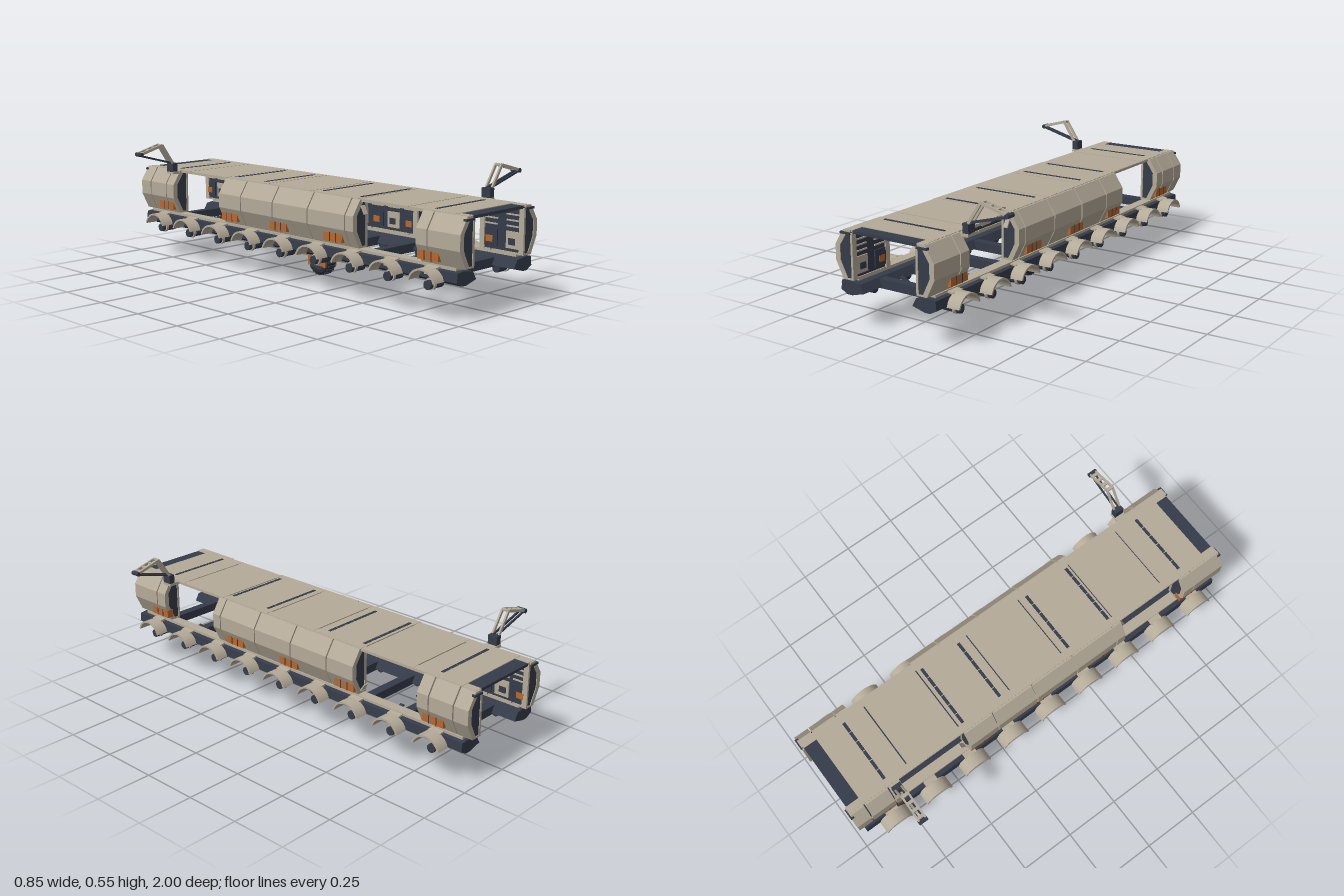
import * as THREE from 'three';

const mat = (name, color, side = THREE.FrontSide) => {
  const m = new THREE.MeshStandardMaterial({ color, side });
  m.name = name;
  return m;
};

export function createModel() {
  const root = new THREE.Group();
  root.name = 'segmentedHauler';
  const beige = mat('beige hull', 0xb4aa98);
  const dark = mat('dark slate', 0x353b4a);
  const orange = mat('burnt orange', 0xb8672f);
  const rubber = mat('black rubber', 0x262b34);

  const add = (name, geo, m, x = 0, y = 0, z = 0, parent = root) => {
    const mesh = new THREE.Mesh(geo, m);
    mesh.name = name;
    mesh.position.set(x, y, z);
    parent.add(mesh);
    return mesh;
  };
  // box given by its limits; s mirrors it across x
  const box = (name, m, x0, x1, y0, y1, z0, z1, s = 1, parent = root) =>
    add(name, new THREE.BoxGeometry(x1 - x0, y1 - y0, z1 - z0), m,
      s * (x0 + x1) / 2, (y0 + y1) / 2, (z0 + z1) / 2, parent);
  // x-y outline drawn out along z
  const prism = (name, m, pts, z0, z1, s = 1, parent = root) => {
    const shape = new THREE.Shape(pts.map(([x, y]) => new THREE.Vector2(s * x, y)));
    const geo = new THREE.ExtrudeGeometry(shape, { depth: z1 - z0, bevelEnabled: false });
    return add(name, geo, m, 0, 0, z0, parent);
  };
  // straight bar between two x-y points
  const bar = (name, m, a, b, t, z, depth, s, parent) => {
    const dx = s * (b[0] - a[0]), dy = b[1] - a[1];
    const mesh = add(name, new THREE.BoxGeometry(Math.hypot(dx, dy), t, depth), m,
      s * (a[0] + b[0]) / 2, (a[1] + b[1]) / 2, z, parent);
    mesh.rotation.z = Math.atan2(dy, dx);
    return mesh;
  };

  const axles = Array.from({ length: 9 }, (_, i) => 0.845 - i * 0.2095);

  // Ladder chassis
  const rail = [[0.12, 0.158], [0.14, 0.192], [0.2, 0.2], [0.232, 0.196], [0.236, 0.158], [0.205, 0.142], [0.18, 0.142]];
  for (const s of [1, -1]) {
    prism('chassisRail', dark, rail, -0.965, 0.975, s);
    box('railCap', beige, 0.165, 0.212, 0.198, 0.21, -0.95, 0.95, s);
  }
  for (const z of axles) box('crossBeam', dark, -0.15, 0.15, 0.15, 0.188, z - 0.02, z + 0.02);
  for (const s of [1, -1])
    for (const z of [0.74, 0.32, -0.1, -0.52])
      bar('hangerHook', dark, [0.05, 0.146], [0.078, 0.138], 0.006, z, 0.02, s, root);
  for (const s of [1, -1])
    for (const z of [0.74, 0.32, -0.1, -0.52])
      bar('hookStem', dark, [0.075, 0.139], [0.13, 0.165], 0.008, z, 0.015, s, root);

  // Running gear: arched fenders and axle hubs
  const arch = new THREE.Shape();
  arch.absarc(0, 0, 0.071, 0.3, Math.PI - 0.3, false);
  arch.absarc(0, 0, 0.063, Math.PI - 0.3, 0.3, true);
  const fenderGeo = new THREE.ExtrudeGeometry(arch, { depth: 0.06, bevelEnabled: false, curveSegments: 10 });
  fenderGeo.translate(0, 0, -0.03).rotateY(Math.PI / 2);
  const hubGeo = new THREE.CylinderGeometry(0.019, 0.019, 0.08, 14).rotateZ(Math.PI / 2);
  const ringGeo = new THREE.CylinderGeometry(0.025, 0.025, 0.012, 14).rotateZ(Math.PI / 2);
  for (const s of [1, -1]) {
    for (const z of axles) {
      const g = new THREE.Group();
      g.name = 'wheelStation';
      root.add(g);
      add('fender', fenderGeo, beige, s * 0.264, 0.134, z, g);
      add('axleHub', hubGeo, dark, s * 0.215, 0.134, z, g);
      add('hubCollar', ringGeo, beige, s * 0.232, 0.136, z, g);
      prism('fenderBracket', beige, [[0.205, 0.207], [0.24, 0.203], [0.24, 0.172], [0.234, 0.172]],
        z - 0.03, z + 0.03, s, g);
    }
  }

  // Side pods: dark core wrapped by faceted hull panels
  const core = [[0.162, 0.212], [0.187, 0.212], [0.222, 0.284], [0.222, 0.346], [0.184, 0.403], [0.162, 0.403]];
  const shell = [[0.165, 0.412], [0.2, 0.412], [0.242, 0.347], [0.242, 0.283], [0.206, 0.21], [0.157, 0.21],
    [0.157, 0.217], [0.186, 0.217], [0.219, 0.284], [0.219, 0.346], [0.182, 0.401], [0.165, 0.401]];
  const pods = [
    { seams: [0.77, 0.83, 0.995], boxes: [0.825] },
    { seams: [-0.41, -0.26, -0.05, 0.17, 0.39, 0.44], boxes: [0.31, -0.025, -0.35] },
    { seams: [-0.995, -0.92, -0.8, -0.74], boxes: [-0.815] },
  ];
  for (const s of [1, -1]) {
    for (const { seams, boxes } of pods) {
      const g = new THREE.Group();
      g.name = 'sidePod';
      root.add(g);
      const z0 = seams[0], z1 = seams[seams.length - 1];
      prism('podCore', dark, core, z0 + 0.006, z1 - 0.006, s, g);
      seams.slice(1).forEach((z, i) => {
        prism('hullPanel', beige, shell, seams[i] + 0.003, z - 0.003, s, g);
      });
      // lower cargo boxes
      for (const z of boxes) {
        box('cargoBox', orange, 0.198, 0.231, 0.225, 0.262, z - 0.053, z + 0.053, s, g);
        for (const d of [-0.018, 0.018])
          box('boxStrap', dark, 0.2, 0.232, 0.224, 0.263, z + d - 0.002, z + d + 0.002, s, g);
      }
      // inner pillars and equipment racks
      for (const z of [z0 + 0.015, z1 - 0.015])
        box('innerPillar', beige, 0.155, 0.165, 0.21, 0.402, z - 0.012, z + 0.012, s, g);
      const n = Math.max(2, Math.round((z1 - z0) / 0.1));
      for (let i = 0; i < n; i++) {
        const z = z0 + (i + 0.5) * (z1 - z0) / n;
        box('rackPanel', i % 2 ? beige : dark, 0.156, 0.164, 0.23, 0.3, z - 0.034, z + 0.034, s, g);
        for (const y of [0.318, 0.342, 0.366])
          box('rackShelf', beige, 0.157, 0.164, y, y + 0.006, z - 0.034, z + 0.034, s, g);
        box('rackModule', i % 2 ? dark : orange, 0.1545, 0.163, 0.245, 0.272, z - 0.022, z + 0.012, s, g);
      }
    }
    // slanted braces beside the openings
    for (const [z, y, a] of [[0.45, 0.37, 0.5], [-0.425, 0.245, 0.6]]) {
      const brace = box('openingBrace', beige, 0.18, 0.2, y - 0.02, y + 0.02, z - 0.003, z + 0.003, s);
      brace.rotation.x = -a;
    }
  }

  // Roof deck
  box('roofUnderside', dark, -0.165, 0.165, 0.399, 0.406, -0.985, 0.985);
  const seams = [-0.925, -0.68, -0.41, -0.14, 0.14, 0.42, 0.69, 0.93];
  seams.slice(1).forEach((z, i) => {
    box('roofPanel', beige, -0.19, 0.19, 0.404, 0.414, seams[i] + 0.003, z - 0.003);
  });
  for (const s of [1, -1]) {
    box('roofEndStrip', dark, -0.157, 0.157, 0.401, 0.411, s > 0 ? 0.925 : -0.985, s > 0 ? 0.985 : -0.92);
    box('roofEdge', beige, 0.157, 0.192, 0.402, 0.413, -0.985, 0.985, s);
    for (const z of [0.99, -0.99])
      box('cornerCap', dark, 0.163, 0.212, 0.395, 0.404, z - 0.008, z + 0.008, s);
  }
  for (const z of [-0.79, -0.385, -0.19, 0.18, 0.4, 0.8])
    for (let i = 0; i < 6; i++)
      box('roofSlot', dark, -0.155 + i * 0.051, -0.108 + i * 0.051, 0.41, 0.4155, z - 0.007, z + 0.007);
  for (let i = -2; i <= 2; i++)
    box('roofStringer', dark, i * 0.055 - 0.012, i * 0.055 + 0.012, 0.396, 0.4, -0.97, 0.97);

  // Folding arms on opposite corners
  for (const [s, z] of [[1, 0.755], [-1, -0.77]]) {
    const g = new THREE.Group();
    g.name = 'foldingArm';
    root.add(g);
    box('armFoot', beige, 0.185, 0.24, 0.398, 0.41, z - 0.025, z + 0.025, s, g);
    box('armBase', dark, 0.212, 0.24, 0.408, 0.45, z - 0.022, z + 0.022, s, g);
    const a = [0.235, 0.45], b = [0.295, 0.54], c = [0.412, 0.508];
    for (const d of [-0.015, 0.015]) {
      bar('lowerArm', beige, a, b, 0.012, z + d, 0.008, s, g);
      bar('upperArm', beige, b, c, 0.012, z + d, 0.008, s, g);
      bar('armStrut', dark, [0.225, 0.448], [0.415, 0.5], 0.008, z + d * 0.6, 0.007, s, g);
    }
    for (let i = 0; i <= 3; i++) {
      const t = i / 3.4;
      add('armRung', new THREE.BoxGeometry(0.014, 0.008, 0.03), beige,
        s * (b[0] + (c[0] - b[0]) * t), b[1] + (c[1] - b[1]) * t, z, g);
    }
    add('armTip', new THREE.CylinderGeometry(0.01, 0.01, 0.042, 12).rotateX(Math.PI / 2), dark, s * 0.415, 0.505, z, g);
  }

  // Central guide wheel
  const wheel = new THREE.Group();
  wheel.name = 'guideWheel';
  wheel.position.set(0, 0.065, 0.015);
  root.add(wheel);
  const tyre = [[0.035, -0.024], [0.05, -0.027], [0.058, -0.025], [0.062, -0.016], [0.0625, 0],
    [0.062, 0.016], [0.058, 0.025], [0.05, 0.027], [0.035, 0.024]].map(([r, w]) => new THREE.Vector2(r, w));
  add('tyre', new THREE.LatheGeometry(tyre, 28).rotateZ(Math.PI / 2), rubber, 0, 0, 0, wheel);
  add('wheelHub', new THREE.CylinderGeometry(0.04, 0.04, 0.05, 20).rotateZ(Math.PI / 2), dark, 0, 0, 0, wheel);
  for (let i = 0; i < 20; i++) {
    const t = i / 20 * Math.PI * 2;
    const lug = add('treadLug', new THREE.BoxGeometry(0.042, 0.006, 0.01), dark, 0, Math.cos(t) * 0.062, Math.sin(t) * 0.062, wheel);
    lug.rotation.x = t;
  }
  for (const s of [1, -1]) {
    box('hubCover', orange, 0.024, 0.037, -0.022, 0.025, -0.053, 0.053, s, wheel);
    box('hubPlate', dark, 0.036, 0.039, -0.028, -0.018, -0.04, 0.04, s, wheel);
  }
  return root;
}
